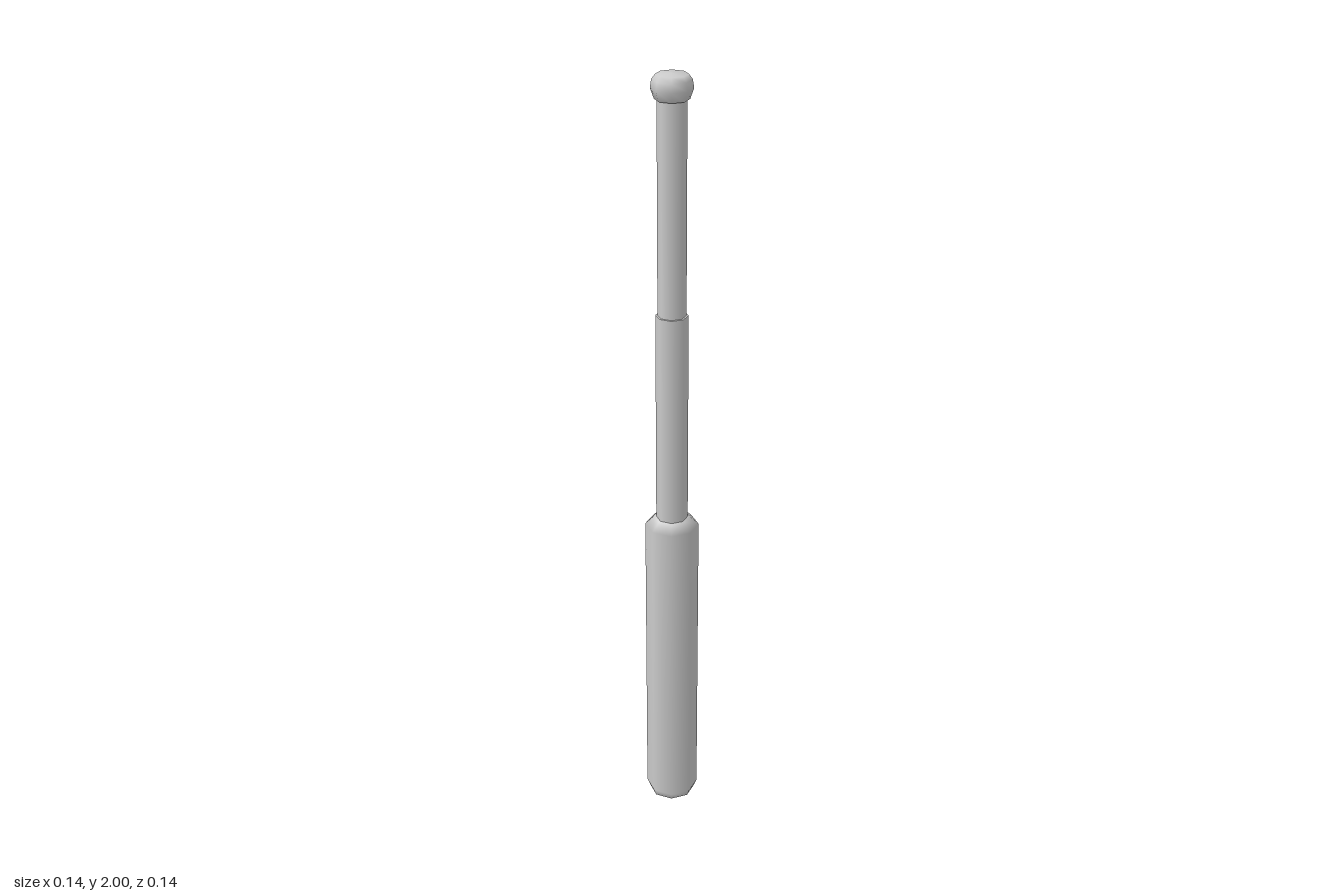
import * as THREE from 'three';

const SIDES = 8;

// Turned part from [radius, height] pairs, listed bottom to top
function turned(name, profile, material) {
  const points = profile.map(([r, y]) => new THREE.Vector2(r, y));
  const mesh = new THREE.Mesh(new THREE.LatheGeometry(points, SIDES), material);
  mesh.name = name;
  return mesh;
}

export function createModel() {
  const group = new THREE.Group();
  group.name = 'telescopicBaton';
  const grey = new THREE.MeshStandardMaterial({ color: 0xcccccc });

  // Thick grip with bevelled ends
  group.add(turned('grip', [
    [0, 0], [0.048, 0], [0.06, 0.008], [0.068, 0.028],
    [0.068, 0.842], [0.045, 0.864], [0.036, 0.864],
  ], grey));

  // Middle tube, with a flat rim around the upper tube
  group.add(turned('middleTube', [[0.04, 0.85], [0.04, 1.415]], grey));
  group.add(turned('middleTubeRim', [[0.04, 1.415], [0.03, 1.415]], grey));

  // Upper tube
  group.add(turned('upperTube', [[0.035, 1.4], [0.035, 1.95]], grey));

  // Rounded tip
  group.add(turned('tip', [
    [0.03, 1.938], [0.041, 1.94], [0.05, 1.965],
    [0.047, 1.985], [0.038, 1.997], [0, 2],
  ], grey));

  return group;
}
